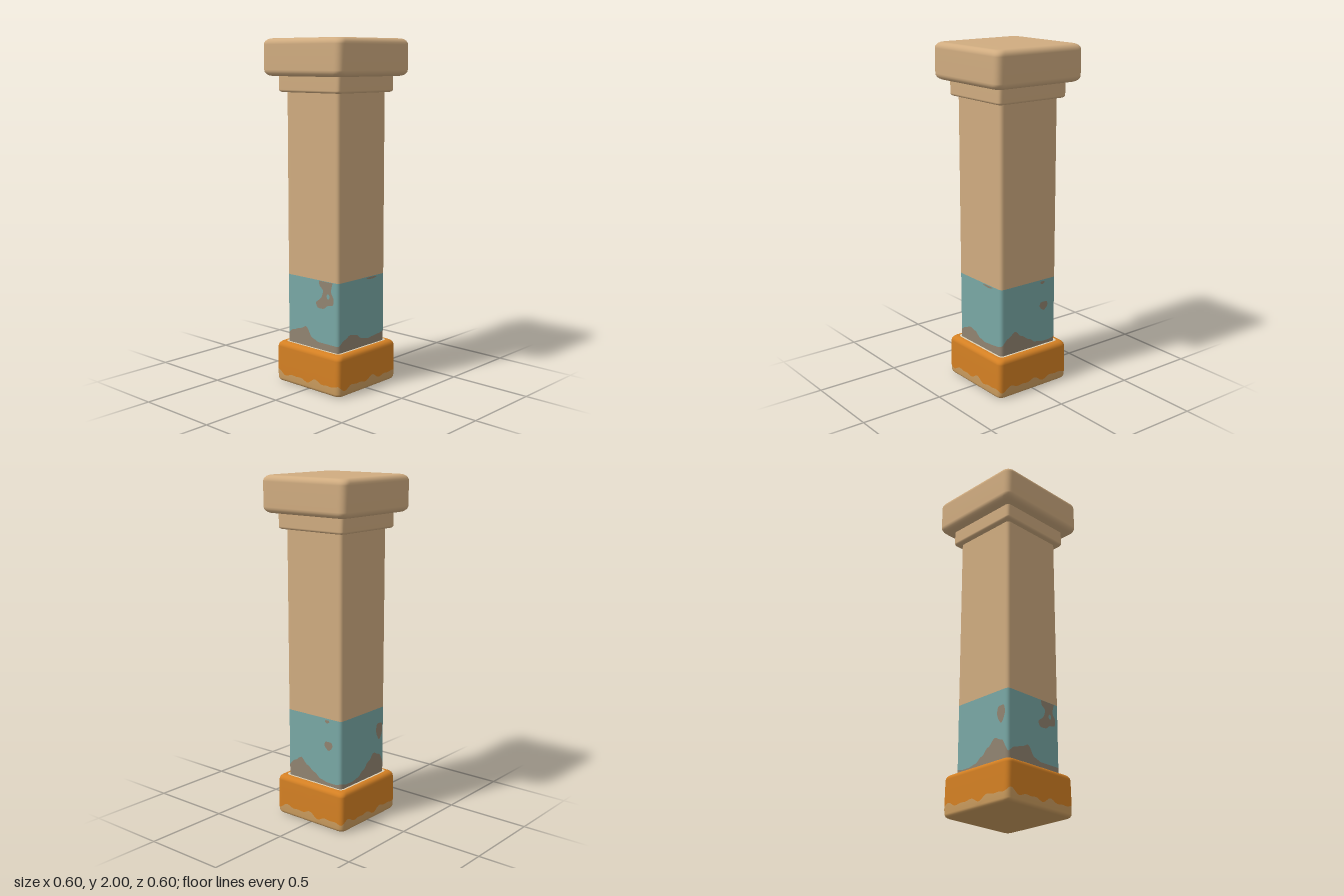
import * as THREE from 'three';

const mat = (name, color) => Object.assign(new THREE.MeshStandardMaterial({ color }), { name });

const SAMPLES = 48; // points per side of a ring

// Rounded-square ring point at position j (0 .. 4 * SAMPLES), counter-clockwise from the front left
function ringPoint(j, half, radius) {
  const side = Math.floor(j / SAMPLES);
  const r = Math.min(radius, half), inner = half - r;
  const x = ((j % SAMPLES) / SAMPLES * 2 - 1) * half;
  const cx = THREE.MathUtils.clamp(x, -inner, inner);
  const d = new THREE.Vector2(x - cx, half - inner).normalize().multiplyScalar(r);
  return new THREE.Vector3(cx + d.x, 0, inner + d.y)
    .applyAxisAngle(new THREE.Vector3(0, 1, 0), side * Math.PI / 2);
}

// Loft of rounded squares. Row: [half width, height or height(turn), material index of the strip above]
function loft(name, rows, radius, materials) {
  const pos = [], index = [], n = SAMPLES * 4;
  const geo = new THREE.BufferGeometry();
  rows.forEach(([half, y, m = 0], i) => {
    for (let j = 0; j < n; j++) {
      const p = ringPoint(j, half, radius);
      pos.push(p.x, typeof y === 'function' ? y(j / n) : y, p.z);
    }
    if (i === rows.length - 1) return;
    geo.addGroup(index.length, n * 6, m);
    for (let j = 0; j < n; j++) {
      const a = i * n + j, b = i * n + (j + 1) % n;
      index.push(a, b, b + n, a, b + n, a + n);
    }
  });
  geo.setAttribute('position', new THREE.Float32BufferAttribute(pos, 3));
  geo.setIndex(index);
  geo.computeVertexNormals();
  const mesh = new THREE.Mesh(geo, materials);
  mesh.name = name;
  return mesh;
}

// Quarter-round rows for the lower or upper edge of a block
function edge(half, y, r, upper, m = 0) {
  const rows = [];
  for (let i = 0; i <= 5; i++) {
    const a = (upper ? i : 5 - i) / 5 * Math.PI / 2;
    rows.push([half - r + r * Math.cos(a), y + (upper ? 1 : -1) * r * (Math.sin(a) - 1), m]);
  }
  return rows;
}

const block = (half, y0, y1, r) =>
  [[0, y0], ...edge(half, y0, r, false), ...edge(half, y1, r, true), [0, y1]];

// Height of the worn foot of the shaft: eight values per side, front, +x, back, -x
const WEAR = [
  0.29, 0.32, 0.335, 0.355, 0.295, 0.28, 0.28, 0.28,
  0.28, 0.31, 0.33, 0.32, 0.29, 0.28, 0.285, 0.29,
  0.30, 0.34, 0.37, 0.33, 0.30, 0.27, 0.26, 0.26,
  0.27, 0.26, 0.26, 0.27, 0.30, 0.34, 0.38, 0.36,
];
function shaftWear(turn) {
  const f = turn * WEAR.length, i = Math.floor(f);
  const t = THREE.MathUtils.smoothstep(f - i, 0, 1);
  return THREE.MathUtils.lerp(WEAR[i], WEAR[(i + 1) % WEAR.length], t);
}

// Height of the worn rim of the base
const baseWear = (turn) => {
  const a = turn * Math.PI * 2;
  return 0.056 + 0.009 * Math.sin(a * 13 + 1) + 0.006 * Math.sin(a * 21) + 0.005 * Math.sin(a * 5 + 2);
};

export function createModel() {
  const stone = mat('sandstone', 0xd0ac80);
  const teal = mat('teal paint', 0x79a8a5);
  const worn = mat('worn teal', 0x918471);
  const orange = mat('orange paint', 0xd48023);
  const bare = mat('worn orange', 0xcb9c5e);
  const cream = mat('pale rim', 0xdccfb4);
  const model = new THREE.Group();
  model.name = 'pillar';

  // Base with a wavy worn strip along the floor and a pale rim on top
  model.add(loft('base', [
    [0, 0], ...edge(0.25, 0, 0.02, false),
    [0.252, baseWear, 1],
    ...edge(0.25, 0.24, 0.03, true, 1),
    [0.214, 0.24, 2], [0, 0.24],
  ], 0.03, [bare, orange, cream]));

  // Shaft: worn foot, teal band, bare stone
  const H = 0.202;
  model.add(loft('shaft', [
    [H, 0.2, 0], [H, shaftWear, 1], [H, 0.645, 2], [H, 1.2, 2], [H, 1.72, 2],
  ], 0.022, [worn, teal, stone]));

  // Neck and capital
  model.add(loft('neck', block(0.235, 1.70, 1.81, 0.014), 0.02, [stone]));
  model.add(loft('capital', block(0.3, 1.79, 2, 0.035), 0.04, [stone]));

  // Chipped paint patches; side counts quarter turns from the front
  function patch(side, points, hole) {
    const v = points.map(([x, y]) => new THREE.Vector2(x, y));
    const shape = new THREE.Shape().moveTo(v[0].x, v[0].y);
    shape.splineThru(v.slice(1));
    if (hole) shape.holes.push(new THREE.Path().absellipse(...hole, 0, Math.PI * 2, true));
    const mesh = new THREE.Mesh(new THREE.ShapeGeometry(shape, 6), worn);
    mesh.name = 'paintChip';
    mesh.geometry.translate(0, 0, H + 0.002);
    mesh.rotation.y = side * Math.PI / 2;
    model.add(mesh);
  }
  const spot = (side, x, y, rx, ry) => patch(side, Array.from({ length: 9 }, (_, i) => {
    const a = i / 8 * Math.PI * 2, k = 1 + 0.12 * Math.sin(a * 3);
    return [x + rx * k * Math.cos(a), y + ry * k * Math.sin(a)];
  }));

  patch(0, [
    [0.055, 0.643], [0.06, 0.615], [0.085, 0.59], [0.07, 0.545], [0.033, 0.515], [0.045, 0.485],
    [0.09, 0.485], [0.12, 0.505], [0.16, 0.515], [0.168, 0.55], [0.148, 0.59], [0.16, 0.643],
  ], [0.125, 0.56, 0.011, 0.015]);
  spot(1, 0.08, 0.636, 0.045, 0.006);
  spot(2, 0.11, 0.485, 0.03, 0.026);
  spot(2, 0.1, 0.628, 0.016, 0.009);
  spot(3, 0.15, 0.51, 0.03, 0.05);

  return model;
}
